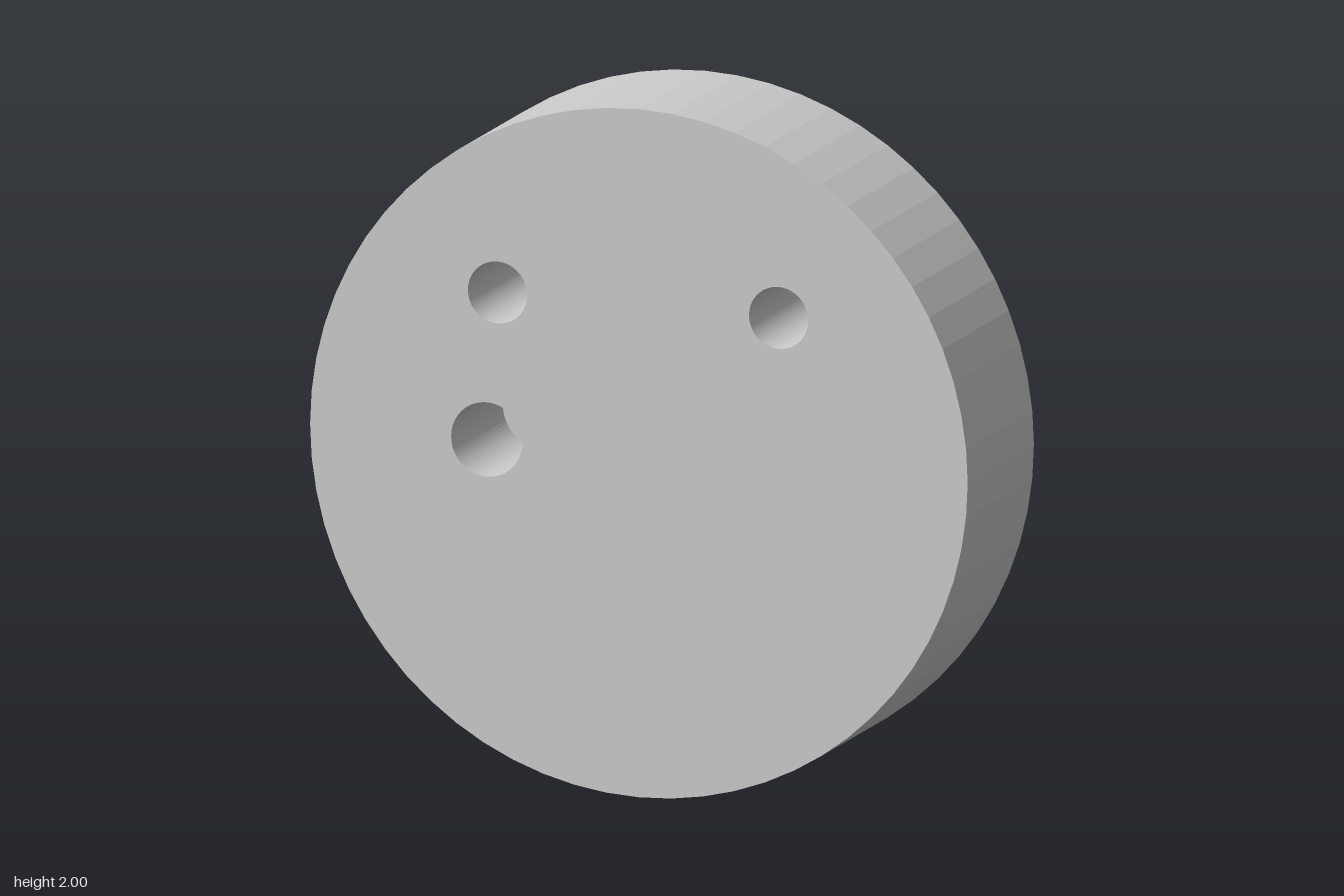
import * as THREE from 'three';

const RADIUS = 1, HALF = 0.255, SIDES = 64, POCKET_DEPTH = 0.4;

// Blind round holes in the front face: centre x, y (from the disc centre) and radius
const HOLES = [
  { name: 'upperRightHole', x: -0.43, y: 0.43, r: 0.09 },
  { name: 'upperLeftHole', x: 0.425, y: 0.43, r: 0.09 },
  { name: 'middleRightHole', x: -0.463, y: 0, r: 0.108 },
];

export function createModel() {
  const group = new THREE.Group();
  group.name = 'drilledDisc';
  const material = new THREE.MeshStandardMaterial({ color: 0xcccccc, flatShading: true });

  const add = (name, geometry, x = 0, y = 0, z = 0) => {
    const mesh = new THREE.Mesh(geometry, material);
    mesh.name = name;
    mesh.position.set(x, y + RADIUS, z);
    group.add(mesh);
  };

  // Lathe turned so that its axis runs along z
  const turned = (points) =>
    new THREE.LatheGeometry(points.map(([r, z]) => new THREE.Vector2(r, z)), SIDES).rotateX(Math.PI / 2);

  // Rim and closed back
  add('rimAndBack', turned([[0, -HALF], [RADIUS, -HALF], [RADIUS, HALF]]));

  // Front face with the hole openings
  const face = new THREE.Shape().absarc(0, 0, RADIUS, 0, Math.PI * 2, false);
  for (const { x, y, r } of HOLES) {
    face.holes.push(new THREE.Path().absarc(x, y, r, 0, Math.PI * 2, true));
  }
  add('frontFace', new THREE.ShapeGeometry(face, SIDES / 2), 0, 0, HALF);

  // Hole walls and flat floors, facing inward
  for (const { name, x, y, r } of HOLES) {
    add(name, turned([[r, 0], [r, -POCKET_DEPTH], [0, -POCKET_DEPTH]]), x, y, HALF);
  }

  return group;
}
